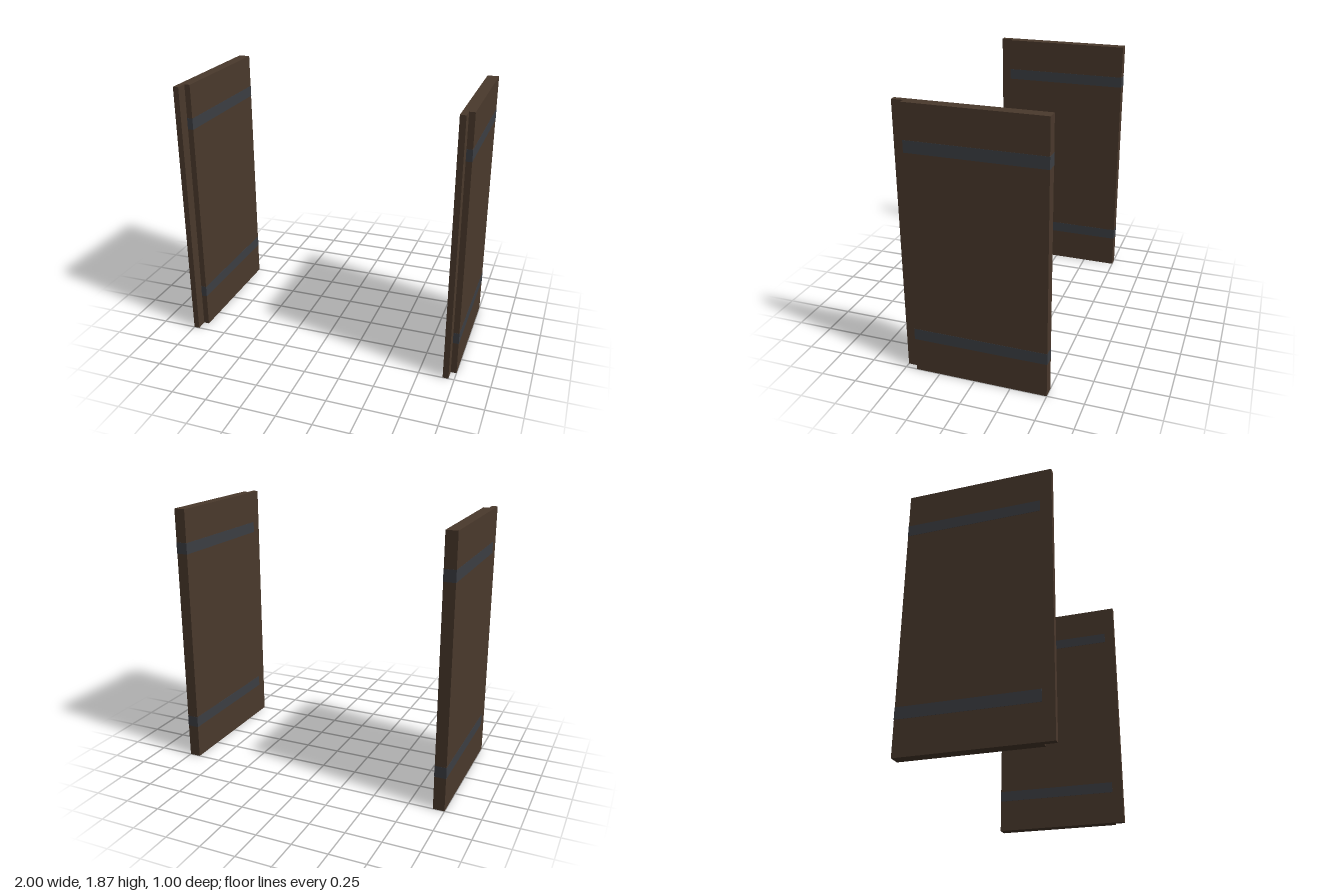
import * as THREE from 'three';

const HEIGHT = 1.87, THICK = 0.08, LIP = 0.04, BACK = -0.5, STEP = 0.42, FRONT = 0.5;

const wood = new THREE.MeshStandardMaterial({ color: 0x4a392c });
const iron = new THREE.MeshStandardMaterial({ color: 0x3c3e43 });

// One upright board with a rebated front edge and two flush metal bands.
function makePanel(name) {
  const panel = new THREE.Group();
  panel.name = name;

  // L-shaped plan, drawn as (x, -z) and extruded upwards
  const plan = new THREE.Shape([
    [0, -FRONT], [LIP, -FRONT], [LIP, -STEP], [THICK, -STEP], [THICK, -BACK], [0, -BACK],
  ].map(([x, y]) => new THREE.Vector2(x, y)));
  const geometry = new THREE.ExtrudeGeometry(plan, { depth: HEIGHT, bevelEnabled: false });
  geometry.rotateX(-Math.PI / 2);
  const board = new THREE.Mesh(geometry, wood);
  board.name = 'rebatedBoard';
  panel.add(board);

  // Bands wrap the thick part only, a hair proud of the wood
  const proud = 0.001;
  for (const [label, y] of [['lowerBand', 0.28], ['upperBand', 1.595]]) {
    const band = new THREE.Mesh(
      new THREE.BoxGeometry(THICK + 2 * proud, 0.08, STEP - BACK + 2 * proud), iron);
    band.name = label;
    band.position.set(THICK / 2, y, (STEP + BACK) / 2);
    panel.add(band);
  }
  return panel;
}

export function createModel() {
  const model = new THREE.Group();
  model.name = 'panelPair';
  // Both panels face the same way, so they are shifted rather than mirrored
  for (const [name, x] of [['rightPanel', -1], ['leftPanel', 1 - THICK]]) {
    const panel = makePanel(name);
    panel.position.x = x;
    model.add(panel);
  }
  return model;
}
